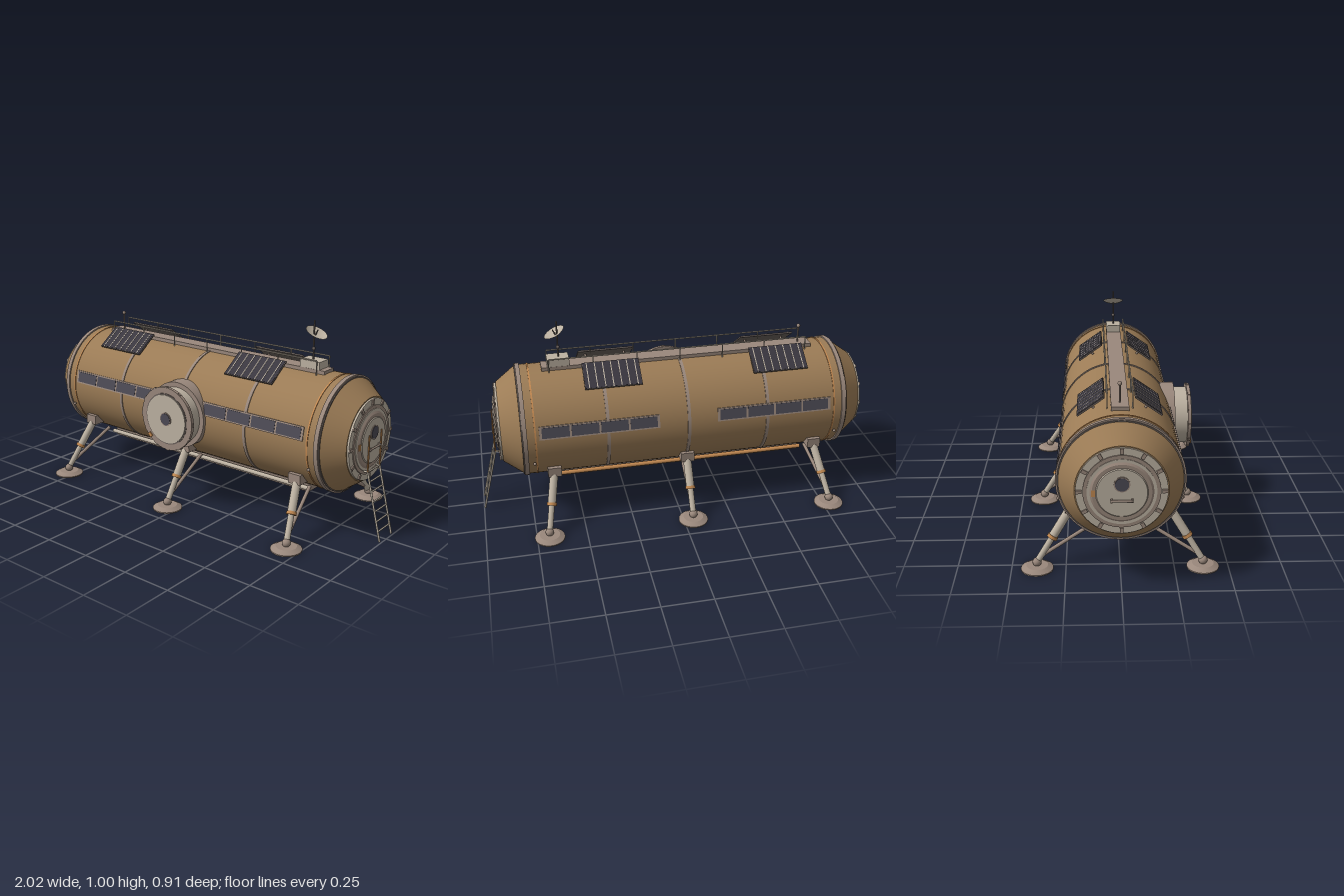
import * as THREE from 'three';

const mat = (name, color) => new THREE.MeshStandardMaterial({ name, color });

export function createModel() {
  const M = {
    hull: mat('bronzeHull', 0x9c7c56),
    taupe: mat('taupeTrim', 0x9a887c),
    light: mat('paleMetal', 0xbdb2a2),
    orange: mat('copper', 0xc48a52),
    glass: mat('darkGlass', 0x4c4a54),
    cell: mat('solarCell', 0x3a3740),
    dark: mat('darkMetal', 0x6b615c),
  };
  const CX = -0.048, CY = 0.48;
  const root = new THREE.Group();
  root.name = 'habitatModule';

  const add = (parent, name, geo, material, x = 0, y = 0, z = 0) => {
    const m = new THREE.Mesh(geo, material);
    m.name = name;
    m.position.set(x, y, z);
    parent.add(m);
    return m;
  };
  const group = (parent, name, x = 0, y = 0, z = 0) => {
    const g = new THREE.Group();
    g.name = name;
    g.position.set(x, y, z);
    parent.add(g);
    return g;
  };
  const box = (p, name, m, w, h, d, x, y, z) => add(p, name, new THREE.BoxGeometry(w, h, d), m, x, y, z);
  const ball = (p, name, m, r, x, y, z) => add(p, name, new THREE.SphereGeometry(r, 20, 14), m, x, y, z);
  // Solid of revolution along x, from x0 (radius r0) to x1 (radius r1)
  const disc = (p, name, m, x0, x1, r0, r1 = r0, y = 0, z = 0) => {
    const g = new THREE.CylinderGeometry(r1, r0, x1 - x0, r0 > 0.1 ? 64 : 20);
    g.rotateZ(-Math.PI / 2);
    return add(p, name, g, m, (x0 + x1) / 2, y, z);
  };
  // Round bar between two points
  const bar = (p, name, m, a, b, r, r2 = r) => {
    const A = new THREE.Vector3(...a), B = new THREE.Vector3(...b);
    const d = B.clone().sub(A);
    const mesh = add(p, name, new THREE.CylinderGeometry(r2, r, d.length(), 14), m);
    mesh.position.copy(A).addScaledVector(d, 0.5);
    mesh.quaternion.setFromUnitVectors(new THREE.Vector3(0, 1, 0), d.normalize());
    return mesh;
  };

  // Pressure hull with bands
  const hull = group(root, 'hull', CX, CY, 0);
  disc(hull, 'hullBarrel', M.hull, -0.82, 0.82, 0.28);
  for (const u of [-0.407, 0, 0.407]) disc(hull, 'hullBand', M.taupe, u - 0.008, u + 0.008, 0.284);
  for (const u of [-0.763, 0.763]) disc(hull, 'copperBand', M.orange, u - 0.004, u + 0.004, 0.283);

  // Bolt blocks around a flange
  const bolts = (p, n, x, r, w, h, d, m) => {
    for (let i = 0; i < n; i++) {
      const a = (i / n) * Math.PI * 2;
      box(p, 'flangeBolt', m, w, h, d, x, Math.cos(a) * r, Math.sin(a) * r).rotation.x = a;
    }
  };
  // Round window, its rim and the grab handle of a hatch
  const hatchFittings = (p, x, wy, handleY) => {
    disc(p, 'portholeRim', M.taupe, x, x + 0.003, 0.035, 0.035, wy);
    disc(p, 'porthole', M.glass, x, x + 0.005, 0.03, 0.03, wy);
    if (handleY === undefined) return;
    bar(p, 'hatchHandle', M.taupe, [x + 0.009, handleY, -0.048], [x + 0.009, handleY, 0.048], 0.005);
    for (const z of [-0.044, 0.044]) box(p, 'handleFoot', M.taupe, 0.012, 0.016, 0.008, x + 0.005, handleY, z);
  };

  // Conical end caps, one turned around
  for (const turn of [0, Math.PI]) {
    const cap = group(hull, turn ? 'leftEndCap' : 'rightEndCap');
    cap.rotation.y = turn;
    disc(cap, 'mainFlange', M.taupe, 0.803, 0.825, 0.287);
    disc(cap, 'flangeStep', M.dark, 0.825, 0.83, 0.28);
    disc(cap, 'endCone', M.hull, 0.83, 0.926, 0.274, 0.203);
    disc(cap, 'endFlange', M.light, 0.924, 0.936, 0.198);
    bolts(cap, 12, 0.936, 0.184, 0.012, 0.026, 0.016, M.taupe);
    disc(cap, 'hatchCollar', M.taupe, 0.936, 0.941, 0.167);
    disc(cap, 'hatchSeat', M.light, 0.941, 0.944, 0.15);
    disc(cap, 'hatchRim', M.taupe, 0.944, 0.95, 0.137, 0.128);
    disc(cap, 'hatchDoor', M.light, 0.95, 0.954, 0.112, 0.108);
    hatchFittings(cap, 0.954, 0.04, -0.033);
    box(cap, 'hatchHinge', M.orange, 0.008, 0.03, 0.018, 0.947, -0.003, 0.122);
    // Small nozzles beside the flange
    for (const z of [-0.277, 0.277]) ball(cap, 'nozzle', M.taupe, 0.008, 0.776, -0.105, z);
  }

  // Docking port on the front
  const port = group(hull, 'dockingPort');
  port.rotation.y = -Math.PI / 2;
  disc(port, 'portBase', M.taupe, 0.2, 0.295, 0.17);
  disc(port, 'portTunnel', M.light, 0.295, 0.36, 0.145);
  disc(port, 'portFlange', M.taupe, 0.36, 0.377, 0.163);
  bolts(port, 12, 0.369, 0.163, 0.012, 0.008, 0.018, M.taupe);
  disc(port, 'portDoorRim', M.dark, 0.377, 0.379, 0.132);
  disc(port, 'portDoor', M.light, 0.379, 0.383, 0.125);
  hatchFittings(port, 0.383, 0);
  box(port, 'portLatch', M.orange, 0.008, 0.018, 0.025, 0.379, -0.105, 0.108).rotation.x = -0.8;

  // Window strips, front and back
  for (const turn of [0, Math.PI]) {
    const side = group(hull, turn ? 'backWindows' : 'frontWindows');
    side.rotation.y = turn;
    const tilt = group(side, 'windowTilt');
    tilt.rotation.x = -0.215;
    for (const u of [-0.447, 0.443]) {
      box(tilt, 'windowFrame', M.taupe, 0.595, 0.068, 0.008, u, 0, 0.279);
      for (let i = 0; i < 4; i++)
        box(tilt, 'windowPane', M.glass, 0.135, 0.054, 0.006, u + (i - 1.5) * 0.145, 0, 0.2815);
    }
  }

  // Roof walkway and railings
  box(root, 'walkway', M.taupe, 1.4, 0.022, 0.08, -0.05, 0.764, 0);
  for (const z of [-0.057, 0.057]) {
    bar(root, 'roofRail', M.light, [-0.71, 0.824, z], [0.615, 0.824, z], 0.0035);
    for (let i = 0; i < 7; i++) {
      const x = -0.71 + i * 0.2208;
      bar(root, 'railPost', M.light, [x, 0.75, z], [x, 0.824, z], 0.003);
    }
  }

  // Solar panels
  for (const x of [-0.542, 0.312]) for (const s of [-1, 1]) {
    const panel = group(root, 'solarPanel', x, 0.753, s * 0.13);
    panel.rotation.x = s * 0.616;
    box(panel, 'panelFrame', M.dark, 0.285, 0.007, 0.148, 0, 0, 0);
    box(panel, 'panelCells', M.cell, 0.279, 0.004, 0.142, 0, 0.003, 0);
    for (let i = -3; i <= 3; i++) box(panel, 'cellDivider', M.light, 0.005, 0.003, 0.142, i * 0.04, 0.0046, 0);
    for (const u of [-0.1, 0.1]) bar(panel, 'panelStrut', M.taupe, [u, 0, 0], [u, -0.04, 0], 0.006);
  }

  // Dish antenna on its equipment box, and a small whip antenna
  box(root, 'antennaBox', M.light, 0.11, 0.04, 0.078, 0.565, 0.793, 0);
  bar(root, 'antennaMast', M.dark, [0.56, 0.81, 0], [0.56, 1, 0], 0.004);
  ball(root, 'mastJoint', M.dark, 0.009, 0.56, 0.864, 0);
  const dishShape = [[0, 0], [0.02, 0.002], [0.04, 0.008], [0.055, 0.016]].map(([a, b]) => new THREE.Vector2(a, b));
  const dishMat = M.light.clone();
  dishMat.name = 'paleDish';
  dishMat.side = THREE.DoubleSide;
  const dish = add(root, 'dish', new THREE.LatheGeometry(dishShape, 40), dishMat, 0.567, 0.93, 0);
  dish.rotation.z = -0.46;
  bar(dish, 'dishFeed', M.dark, [0, 0, 0], [0, 0.03, 0], 0.003);
  bar(root, 'whipMast', M.taupe, [-0.69, 0.77, 0], [-0.69, 0.86, 0], 0.004);
  ball(root, 'whipTip', M.taupe, 0.01, -0.69, 0.864, 0);

  // Belly keel with access boxes and side pipes
  box(root, 'keel', M.taupe, 1.31, 0.04, 0.15, CX, 0.182, 0);
  for (let i = 0; i < 6; i++) box(root, 'bellyBox', M.taupe, 0.1, 0.018, 0.1, CX + (i - 2.5) * 0.222, 0.156, 0);
  disc(root, 'coolantPipe', M.light, -0.71, 0.615, 0.011, 0.011, 0.188, 0.091);
  disc(root, 'copperPipe', M.orange, -0.71, 0.615, 0.011, 0.011, 0.188, -0.091);

  // Six splayed landing legs
  for (const k of [-1, 0, 1]) for (const s of [-1, 1]) {
    const leg = group(root, 'landingLeg', CX + k * 0.68, 0, 0);
    const top = [0, 0.295, s * 0.218], foot = [k * 0.055, 0.035, s * 0.382];
    const at = t => top.map((v, i) => v + (foot[i] - v) * t);
    box(leg, 'legBracket', M.taupe, 0.068, 0.05, 0.065, 0, 0.294, s * 0.217);
    bar(leg, 'upperStrut', M.light, top, at(0.56), 0.021);
    bar(leg, 'legCollar', M.orange, at(0.53), at(0.58), 0.025);
    bar(leg, 'lowerStrut', M.light, at(0.56), foot, 0.015);
    bar(leg, 'legBrace', M.taupe, [0, 0.21, s * 0.11], at(0.9), 0.009);
    ball(leg, 'ankleBall', M.taupe, 0.021, ...foot);
    add(leg, 'footPad', new THREE.CylinderGeometry(0.05, 0.075, 0.014, 36), M.taupe, foot[0], 0.013, foot[2]);
    add(leg, 'footSole', new THREE.CylinderGeometry(0.075, 0.075, 0.006, 36), M.taupe, foot[0], 0.003, foot[2]);
  }

  // Entry ladder with copper hand rails
  const ladder = group(root, 'ladder');
  for (const z of [-0.057, 0.057]) {
    bar(ladder, 'ladderRail', M.light, [0.913, 0.34, z], [0.995, 0.006, z], 0.005);
    bar(ladder, 'handRail', M.orange, [0.913, 0.34, z], [0.913, 0.52, z], 0.004);
    bar(ladder, 'railMount', M.light, [0.87, 0.34, z], [0.913, 0.34, z], 0.005);
  }
  for (let i = 0; i < 7; i++) {
    const y = 0.055 + i * 0.0475, x = 0.995 - ((y - 0.006) / 0.334) * 0.082;
    bar(ladder, 'rung', M.light, [x, y, -0.057], [x, y, 0.057], 0.004);
  }
  return root;
}
